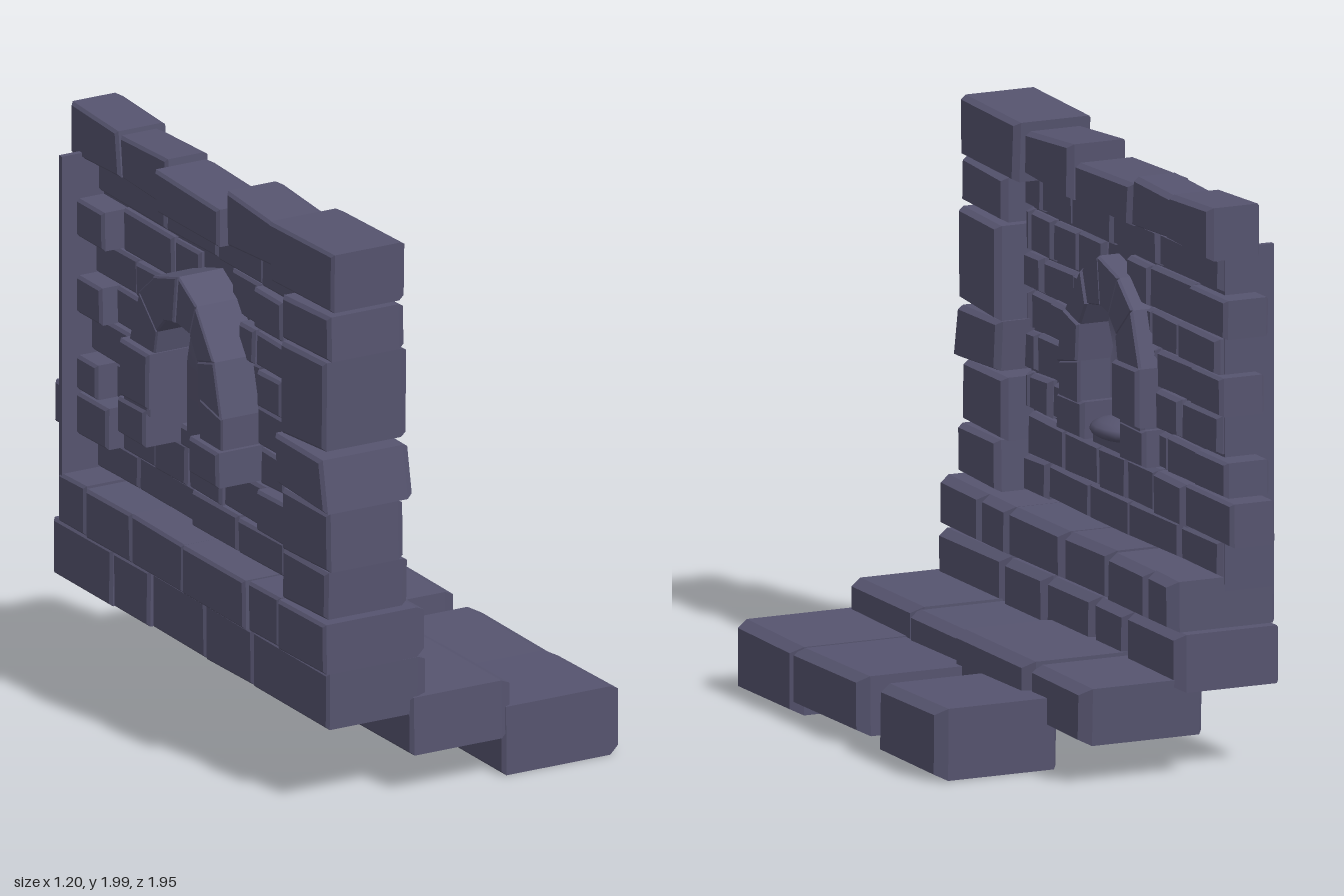
import * as THREE from 'three';

const stone = new THREE.MeshStandardMaterial({ color: 0x56546f, side: THREE.DoubleSide });
stone.name = 'slate stone';

// small seeded random, -1..1
let seed = 7;
const rnd = () => ((seed = (seed * 16807) % 2147483647) / 2147483647) * 2 - 1;

// move every corner of a convex outline inwards by d
function inset(pts, d) {
  const n = pts.length;
  return pts.map((p, i) => {
    const a = new THREE.Vector2().subVectors(pts[(i + n - 1) % n], p).normalize();
    const b = new THREE.Vector2().subVectors(pts[(i + 1) % n], p).normalize();
    const k = d / Math.max(0.3, Math.abs(a.cross(b)));
    return p.clone().add(a.add(b).multiplyScalar(k));
  });
}

// chamfered block: a [z, y] outline (anticlockwise seen from +x) lofted along x
function blockGeometry(outline, x0, x1, front, back) {
  const pts = outline.map(([z, y]) => new THREE.Vector2(z, y));
  const loops = [[x0, back], [x0 + back, 0], [x1 - front * 2, 0], [x1, front]]
    .map(([x, d]) => inset(pts, d).map(p => [x, p.y, p.x]));
  const pos = [], n = pts.length;
  const tri = (a, b, c) => pos.push(...a, ...b, ...c);
  for (let s = 0; s < 3; s++) for (let i = 0; i < n; i++) {
    const j = (i + 1) % n, k = loops[s], f = loops[s + 1];
    tri(k[i], k[j], f[j]);
    tri(k[i], f[j], f[i]);
  }
  for (let i = 1; i < n - 1; i++) {
    tri(loops[3][0], loops[3][i], loops[3][i + 1]);
    tri(loops[0][0], loops[0][i + 1], loops[0][i]);
  }
  const g = new THREE.BufferGeometry();
  g.setAttribute('position', new THREE.Float32BufferAttribute(pos, 3));
  g.computeVertexNormals();
  return g;
}

function add(parent, name, geometry) {
  const m = new THREE.Mesh(geometry, stone);
  m.name = name;
  parent.add(m);
  return m;
}

// block from ranges; z0 is the larger z, j is the unevenness of its corners
function block(parent, name, [x0, x1], [z0, z1], [y0, y1], front = 0.01, j = 0.004, back = 0.01) {
  const c = (z, y) => [z + rnd() * j, y + rnd() * j];
  return add(parent, name, blockGeometry([c(z0, y0), c(z1, y0), c(z1, y1), c(z0, y1)], x0, x1, front, back));
}

function group(parent, name) {
  const g = new THREE.Group();
  g.name = name;
  parent.add(g);
  return g;
}

export function createModel() {
  const model = new THREE.Group();
  model.name = 'ruined wall with niche';

  // thin mortar sheet with an opening for the niche
  const shape = new THREE.Shape([[-0.66, 0.31], [0.835, 0.31], [0.835, 1.84], [-0.66, 1.84]].map(p => new THREE.Vector2(...p)));
  shape.holes.push(new THREE.Path([[-0.16, 1.0], [-0.16, 1.38], [-0.05, 1.5], [0.1, 1.5], [0.22, 1.38], [0.22, 1.0]]
    .map(p => new THREE.Vector2(...p))));
  const core = new THREE.ExtrudeGeometry(shape, { depth: 0.02, bevelEnabled: false });
  core.rotateY(Math.PI / 2).translate(-0.395, 0, 0);
  add(model, 'mortarSheet', core);
  // return of the sheet at the broken end
  block(model, 'endReturn', [-0.56, -0.375], [-0.815, -0.835], [0.6, 1.82], 0, 0, 0);

  // wall courses: [y range, runs of joints in z]
  const wall = group(model, 'wallCourses');
  const courses = [
    [[1.668, 1.787], [0.66, 0.52, 0.28, -0.03, -0.37, -0.838]],
    [[1.512, 1.658], [0.65, 0.61, 0.44, 0.25, 0.06], [-0.14, -0.31, -0.65]],
    [[1.382, 1.505], [0.66, 0.52, 0.27, 0.16], [-0.23, -0.33, -0.54, -0.838]],
    [[1.242, 1.375], [0.65, 0.62, 0.45, 0.28, 0.18], [-0.27, -0.36, -0.67]],
    [[1.102, 1.235], [0.66, 0.565, 0.27, 0.18], [-0.27, -0.37, -0.55, -0.838]],
    [[0.965, 1.092], [0.65, 0.615, 0.455, 0.29, 0.2], [-0.3, -0.36, -0.45, -0.7]],
    [[0.678, 0.803], [0.66, 0.475, 0.16, -0.15, -0.54, -0.838]],
  ];
  const layCourse = (parent, name, xs, ys, joints, front, rough) => {
    for (let i = 0; i < joints.length - 1; i++)
      block(parent, name, [xs[0] + rnd() * rough, xs[1] + rnd() * 0.008], [joints[i] - 0.004, joints[i + 1] + 0.004], ys, front);
  };
  for (const [ys, ...runs] of courses)
    for (const run of runs) layCourse(wall, 'wallBrick', [-0.43, -0.345], ys, run, 0.01, 0.02);
  // proud course below the niche
  layCourse(wall, 'ledgeBrick', [-0.45, -0.325], [0.808, 0.958], [0.61, 0.32, 0.05, -0.17, -0.39, -0.62], 0.012, 0.02);
  // toothed blocks at the broken end
  for (const [zs, ys] of [[[-0.645, -0.92], [1.52, 1.66]], [[-0.66, -0.89], [1.245, 1.38]],
    [[-0.69, -0.925], [0.97, 1.095]], [[-0.62, -0.97], [0.81, 0.96]]])
    block(wall, 'endTooth', [-0.5, -0.33], zs, ys, 0.008, 0.003);

  // coping stones along the top
  const coping = group(model, 'copingStones');
  const copings = [
    [[[0.935, 1.79], [0.525, 1.78], [0.51, 1.99], [0.94, 2.0]], -0.53, -0.24],
    [[[0.505, 1.81], [0.165, 1.79], [0.16, 1.985], [0.5, 1.96]], -0.49, -0.27],
    [[[0.155, 1.785], [-0.255, 1.785], [-0.27, 1.935], [0.155, 1.92]], -0.52, -0.29],
    [[[-0.26, 1.785], [-0.57, 1.80], [-0.585, 1.95], [-0.275, 1.96]], -0.47, -0.3],
    [[[-0.57, 1.805], [-0.895, 1.795], [-0.895, 1.98], [-0.59, 1.965]], -0.48, -0.28],
  ];
  for (const [o, x0, x1] of copings) add(coping, 'copingStone', blockGeometry(o, x0, x1, 0.012, 0.01));

  // corner pillar
  const pillar = group(model, 'cornerPillar');
  const quoins = [
    [[[0.96, 1.625], [0.64, 1.615], [0.64, 1.77], [0.955, 1.785]], -0.555, -0.255],
    [[[0.93, 1.295], [0.64, 1.275], [0.64, 1.605], [0.935, 1.615]], -0.56, -0.23],
    [[[0.975, 1.085], [0.645, 1.1], [0.63, 1.275], [0.94, 1.27]], -0.58, -0.23],
    [[[0.955, 0.865], [0.64, 0.855], [0.64, 1.075], [0.95, 1.075]], -0.555, -0.255],
    [[[0.935, 0.69], [0.64, 0.68], [0.645, 0.86], [0.94, 0.86]], -0.555, -0.23],
  ];
  for (const [o, x0, x1] of quoins) add(pillar, 'quoin', blockGeometry(o, x0, x1, 0.012, 0.012));

  // stepped footing courses and paving
  const base = group(model, 'footing');
  layCourse(base, 'upperFooting', [-0.57, -0.17], [0.502, 0.68], [0.962, 0.64, 0.43, 0.01, -0.34, -0.655, -0.84], 0.02, 0.008);
  layCourse(base, 'lowerFooting', [-0.555, -0.165], [0.3, 0.502], [0.95, 0.44, 0.12, -0.24, -0.485, -0.885], 0.02, 0.01);
  for (const [xs, zs, ys] of [
    [[-0.23, 0.17], [0.955, 0.455], [0.145, 0.355]],
    [[-0.29, 0.18], [0.475, 0.065], [0.15, 0.35]],
    [[-0.29, 0.205], [0.075, -0.475], [0.145, 0.36]],
    [[-0.28, 0.18], [-0.465, -0.86], [0.15, 0.35]],
    [[0.135, 0.6], [0.955, 0.505], [0.01, 0.255]],
    [[0.16, 0.595], [0.53, 0.005], [0.045, 0.25]],
    [[0.14, 0.595], [-0.14, -0.595], [0.01, 0.26]],
  ]) block(base, 'stepStone', xs, zs, ys, 0.022, 0.005, 0.012);

  // arch stones between an outer and an inner line
  const niche = group(model, 'niche');
  const outer = [[0.27, 1.09], [0.27, 1.21], [0.22, 1.40], [0.10, 1.565], [-0.02, 1.635], [-0.18, 1.59], [-0.29, 1.50], [-0.36, 1.30]];
  const inner = [[0.12, 1.09], [0.12, 1.24], [0.11, 1.37], [0.06, 1.45], [-0.04, 1.465], [-0.11, 1.45], [-0.17, 1.39], [-0.19, 1.29]];
  for (let i = 0; i < outer.length - 1; i++)
    add(niche, 'archStone', blockGeometry([outer[i], inner[i], inner[i + 1], outer[i + 1]], -0.575 + rnd() * 0.008, -0.285 + rnd() * 0.008, 0.005, 0.006));
  // jamb, sill blocks and sill
  block(niche, 'jambBlock', [-0.6, -0.265], [-0.18, -0.37], [1.11, 1.31], 0.008, 0.003);
  block(niche, 'jambBase', [-0.59, -0.29], [-0.19, -0.36], [1.08, 1.13], 0.008, 0);
  block(niche, 'sillBlock', [-0.6, -0.285], [0.285, 0.095], [0.97, 1.1], 0.008, 0.003);
  block(niche, 'sillBlock', [-0.6, -0.285], [-0.2, -0.38], [0.97, 1.1], 0.008, 0.003);
  block(niche, 'sill', [-0.46, -0.33], [0.1, -0.2], [0.955, 1.03], 0.008, 0);

  // hollow niche back with a domed head
  const profile = [[0.165, 1.0], [0.165, 1.28], [0.15, 1.37], [0.1, 1.45], [0.05, 1.475], [0, 1.48]].map(p => new THREE.Vector2(...p));
  const hollow = add(niche, 'nicheHollow', new THREE.LatheGeometry(profile, 16, Math.PI, Math.PI));
  hollow.position.set(-0.37, 0, -0.035);
  hollow.scale.x = 0.75;

  // shallow basin resting on the sill
  const basin = add(niche, 'basin', new THREE.SphereGeometry(1, 16, 8));
  basin.scale.set(0.11, 0.04, 0.14);
  basin.position.set(-0.378, 1.03, -0.045);

  return model;
}
